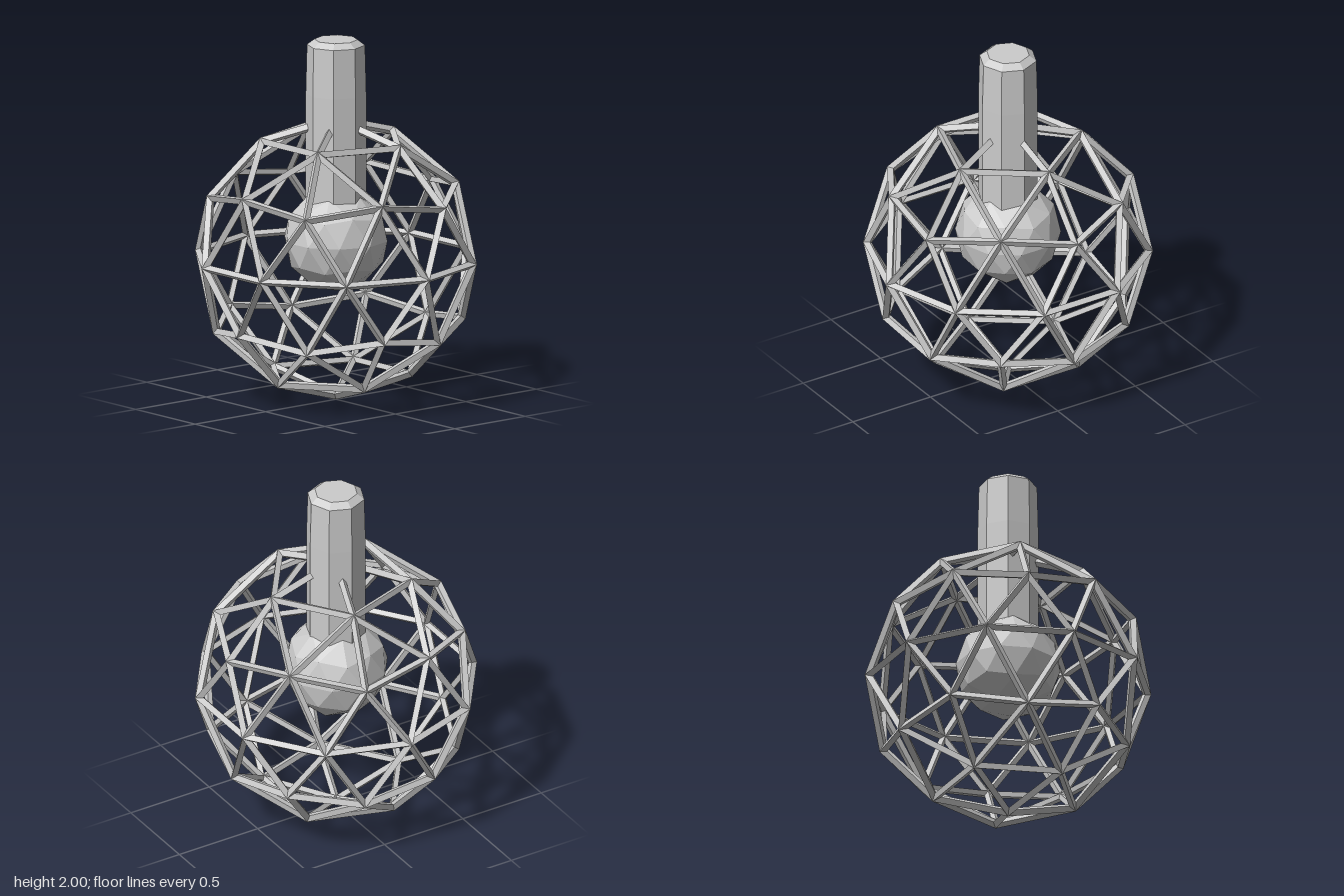
import * as THREE from 'three';

const grey = () => new THREE.MeshStandardMaterial({ color: 0xcccccc, flatShading: true });

// 80-faced geodesic sphere with a vertex at each pole and one upper ring vertex towards +x
function geodesic(radius) {
  const tilt = Math.atan(2 / (1 + Math.sqrt(5)));
  return new THREE.IcosahedronGeometry(radius, 1).rotateZ(-tilt);
}

// Diamond-section struts along every edge of a triangle geometry
function latticeGeometry(source, halfDepth, halfWidth) {
  const src = source.getAttribute('position');
  const out = [];
  const tri = (...pts) => pts.forEach((p) => out.push(p.x, p.y, p.z));
  const quad = (a, b, c, d) => { tri(a, b, c); tri(a, c, d); };
  const shift = (p, d) => p.clone().setLength(p.length() + d);

  for (let f = 0; f < src.count; f += 3) {
    const v = [0, 1, 2].map((k) => new THREE.Vector3().fromBufferAttribute(src, f + k));
    // incentre: moving corners towards it insets all three sides evenly
    const side = [0, 1, 2].map((k) => v[(k + 1) % 3].distanceTo(v[(k + 2) % 3]));
    const perimeter = side[0] + side[1] + side[2];
    const centre = new THREE.Vector3();
    v.forEach((p, k) => centre.addScaledVector(p, side[k] / perimeter));
    const inRadius = 2 * new THREE.Triangle(...v).getArea() / perimeter;

    const inset = v.map((p) => p.clone().lerp(centre, halfWidth / inRadius));
    const outer = v.map((p) => shift(p, halfDepth));
    const inner = v.map((p) => shift(p, -halfDepth));
    for (let a = 0; a < 3; a++) {
      const b = (a + 1) % 3;
      quad(outer[a], outer[b], inset[b], inset[a]);
      quad(inner[b], inner[a], inset[a], inset[b]);
    }
  }
  const geo = new THREE.BufferGeometry();
  geo.setAttribute('position', new THREE.Float32BufferAttribute(out, 3));
  geo.computeVertexNormals();
  return geo;
}

export function createModel() {
  const group = new THREE.Group();
  const add = (name, geometry, y = 0) => {
    const mesh = new THREE.Mesh(geometry, grey());
    mesh.name = name;
    mesh.position.y = y;
    group.add(mesh);
  };

  // Open geodesic cage
  add('cage', latticeGeometry(geodesic(0.764), 0.024, 0.021), 0.79);

  // Solid ball hanging inside the cage
  add('core', geodesic(0.288), 0.893);

  // Eight-sided stem with a bevelled top
  const profile = [[0, 0.95], [0.165, 0.95], [0.165, 1.7], [0.158, 1.97], [0.118, 2], [0, 2]];
  add('stem', new THREE.LatheGeometry(profile.map(([r, y]) => new THREE.Vector2(r, y)), 8));

  return group;
}
